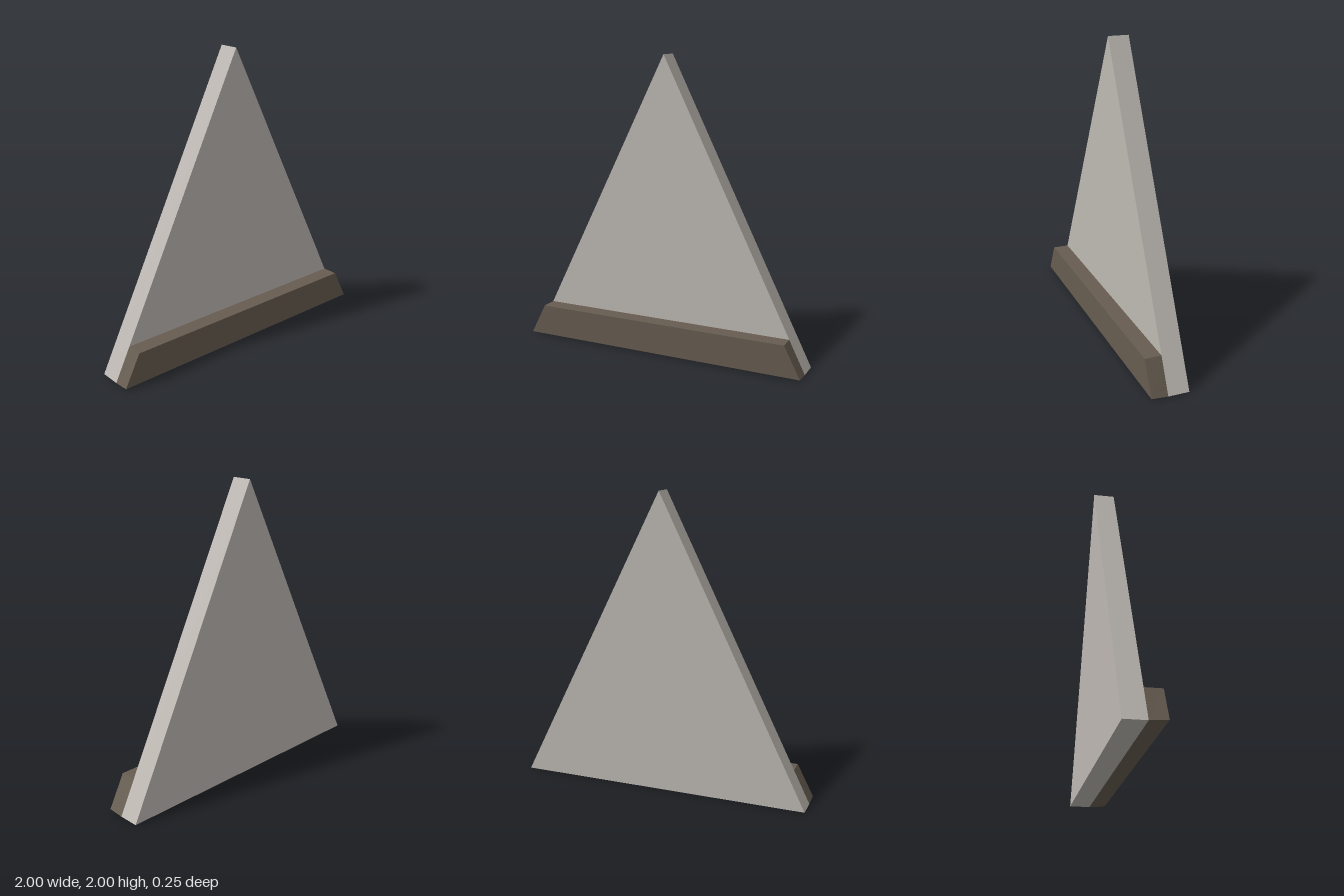
import * as THREE from 'three';

// Extrudes a flat outline from z = back to z = front.
function slab(points, back, front) {
  const shape = new THREE.Shape(points.map(([x, y]) => new THREE.Vector2(x, y)));
  const geometry = new THREE.ExtrudeGeometry(shape, { depth: front - back, bevelEnabled: false });
  return geometry.translate(0, 0, back);
}

export function createModel() {
  const stone = new THREE.MeshStandardMaterial({ color: 0xbdb8b2 });
  stone.name = 'pale stone';
  const brown = new THREE.MeshStandardMaterial({ color: 0x665c50 });
  brown.name = 'dark brown';

  const model = new THREE.Group();
  model.name = 'gable';

  // Triangular gable wall
  const panel = new THREE.Mesh(slab([[-1, 0], [1, 0], [0, 2]], -0.125, 0.015), stone);
  panel.name = 'gablePanel';

  // Beam across the foot of the wall, its ends following the slopes
  const beamGeometry = slab([[-1, 0], [1, 0], [0.89, 0.22], [-0.89, 0.22]], 0.015, 0.125);

  // Lift the front lower edge so the underside slopes a little
  const position = beamGeometry.attributes.position;
  for (let i = 0; i < position.count; i++) {
    if (position.getY(i) < 0.01 && position.getZ(i) > 0.1) position.setY(i, 0.008);
  }
  beamGeometry.computeVertexNormals();
  const beam = new THREE.Mesh(beamGeometry, brown);
  beam.name = 'baseBeam';

  model.add(panel, beam);
  return model;
}
